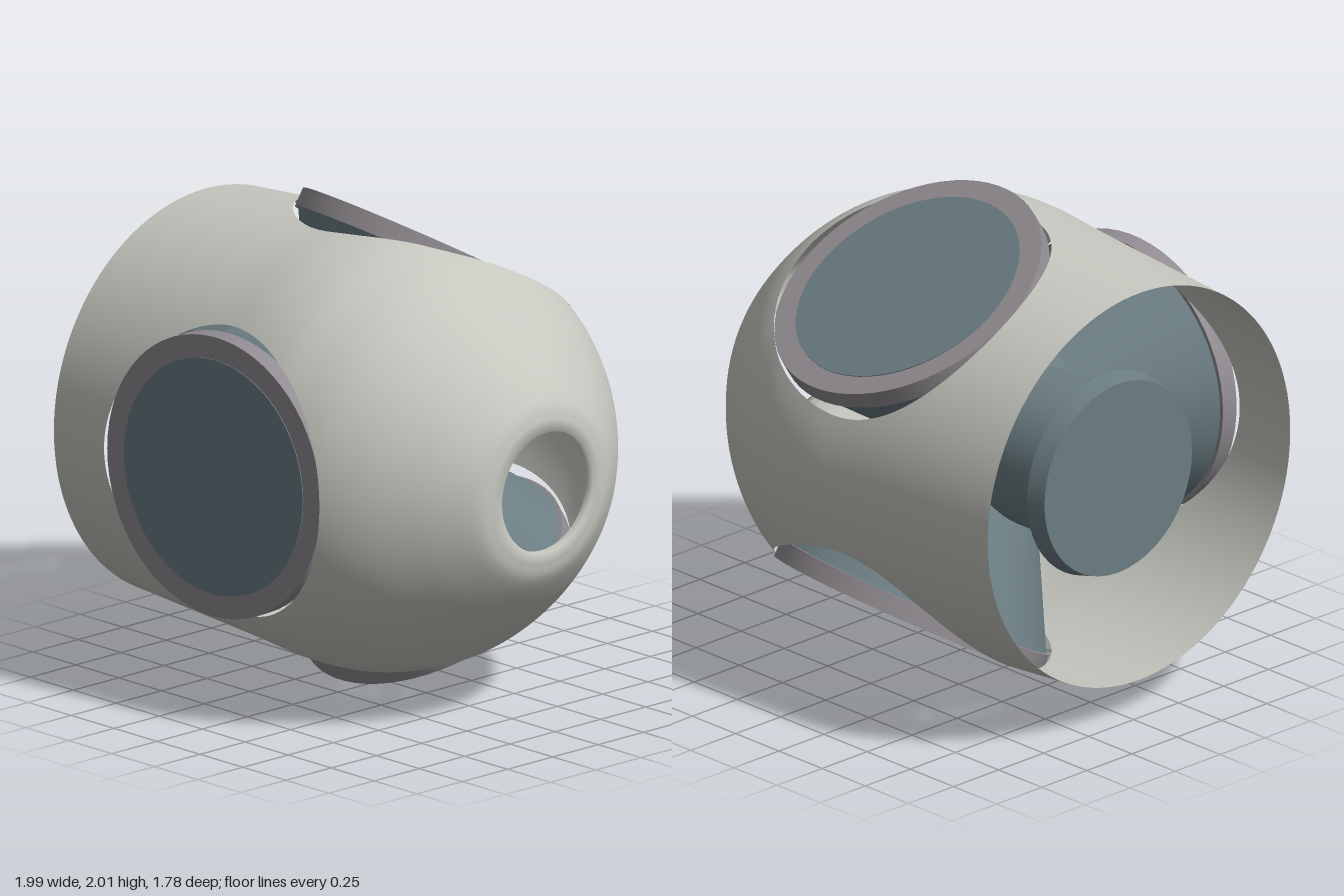
import * as THREE from 'three';

const hullMat = new THREE.MeshStandardMaterial({ color: 0xc6c8c0, side: THREE.DoubleSide });
hullMat.name = 'pale hull';
const ringMat = new THREE.MeshStandardMaterial({ color: 0x918c91 });
ringMat.name = 'grey ring';
const tealMat = new THREE.MeshStandardMaterial({ color: 0x6b7d83 });
tealMat.name = 'slate teal';

const PORT_X = -0.09, PORT_R = 0.595, SECTOR = Math.PI * 2 / 3;

// Hull outline as (x, radius), open at -x and rounded towards +x
function hullProfile() {
  const pts = [[-1, 0.84], [-0.6, 0.868], [-0.25, 0.893], [0, 0.913], [0.2, 0.903], [0.35, 0.865],
    [0.5, 0.805], [0.65, 0.705], [0.8, 0.565], [0.9, 0.45], [0.962, 0.36], [0.977, 0.3]];
  const curve = new THREE.SplineCurve(pts.map(p => new THREE.Vector2(...p)));
  // the nose hole ends in a short inward lip
  return [...curve.getSpacedPoints(110), new THREE.Vector2(0.987, 0.25), new THREE.Vector2(0.95, 0.25)];
}

// Surface of revolution around x with three round port openings
function hullGeometry() {
  const prof = hullProfile(), n = 192;
  const radiusAt = x => {
    let k = 1;
    while (k < 110 && prof[k].x < x) k++;
    const a = prof[k - 1], b = prof[k];
    return a.y + (b.y - a.y) * (x - a.x) / (b.x - a.x);
  };
  const pos = [], inside = [], index = [];
  for (const p of prof) {
    for (let j = 0; j < n; j++) {
      let x = p.x, r = p.y, t = j / n * Math.PI * 2;
      const centre = Math.round(t / SECTOR) * SECTOR;
      const a = x - PORT_X, b = r * Math.sin(t - centre), d = Math.hypot(a, b);
      const cut = d < PORT_R;
      if (cut && d > 0.3) { // slide the vertex out to the rim of the opening
        x = PORT_X + a * PORT_R / d;
        r = radiusAt(x);
        t = centre + Math.asin(b * PORT_R / d / r);
      }
      inside.push(cut);
      pos.push(x, r * Math.sin(t), r * Math.cos(t));
    }
  }
  const tri = (...v) => { if (!v.every(k => inside[k])) index.push(...v); };
  for (let i = 0; i < prof.length - 1; i++) {
    for (let j = 0; j < n; j++) {
      const a = i * n + j, d = i * n + (j + 1) % n, b = a + n, c = d + n;
      tri(a, b, c);
      tri(a, c, d);
    }
  }
  const g = new THREE.BufferGeometry();
  g.setAttribute('position', new THREE.Float32BufferAttribute(pos, 3));
  g.setIndex(index);
  g.computeVertexNormals();
  return g;
}

function add(parent, name, geometry, material) {
  const m = new THREE.Mesh(geometry, material);
  m.name = name;
  parent.add(m);
  return m;
}

// Cylinder along z between two distances from the axis
const drum = (rOut, rIn, zIn, zOut) =>
  new THREE.CylinderGeometry(rOut, rIn, zOut - zIn, 64).rotateX(Math.PI / 2).translate(0, 0, (zIn + zOut) / 2);

// Cylinder along x
const shaft = (rNose, rTail, x0, x1) =>
  new THREE.CylinderGeometry(rNose, rTail, x1 - x0, 48).rotateZ(-Math.PI / 2).translate((x0 + x1) / 2, 0, 0);

export function createModel() {
  const model = new THREE.Group();
  model.name = 'pod';
  const body = new THREE.Group();
  body.name = 'body';
  body.position.set(0, 1, 0.03);
  model.add(body);

  add(body, 'hull', hullGeometry(), hullMat);

  // Three ports, leaning slightly towards the nose
  for (let i = 0; i < 3; i++) {
    const spin = new THREE.Group();
    spin.name = 'port' + (i + 1);
    spin.rotation.x = i * SECTOR;
    const port = new THREE.Group();
    port.name = 'portDisc';
    port.position.set(PORT_X, 0, 0.82);
    port.rotation.y = 0.06;
    add(port, 'portRing', drum(0.585, 0.585, -0.08, 0), ringMat);
    add(port, 'portPane', drum(0.49, 0.49, 0, 0.004), tealMat);
    add(port, 'portFunnel', drum(0.57, 0.3, -0.6, -0.081), tealMat);
    spin.add(port);
    body.add(spin);
  }

  // Inner core with a flanged tail
  add(body, 'core', new THREE.SphereGeometry(0.42, 32, 24).translate(-0.1, 0, 0), tealMat);
  add(body, 'coreShaft', shaft(0.32, 0.32, -0.8, -0.1), tealMat);
  add(body, 'tailFlange', shaft(0.43, 0.41, -0.88, -0.8), tealMat);
  return model;
}
